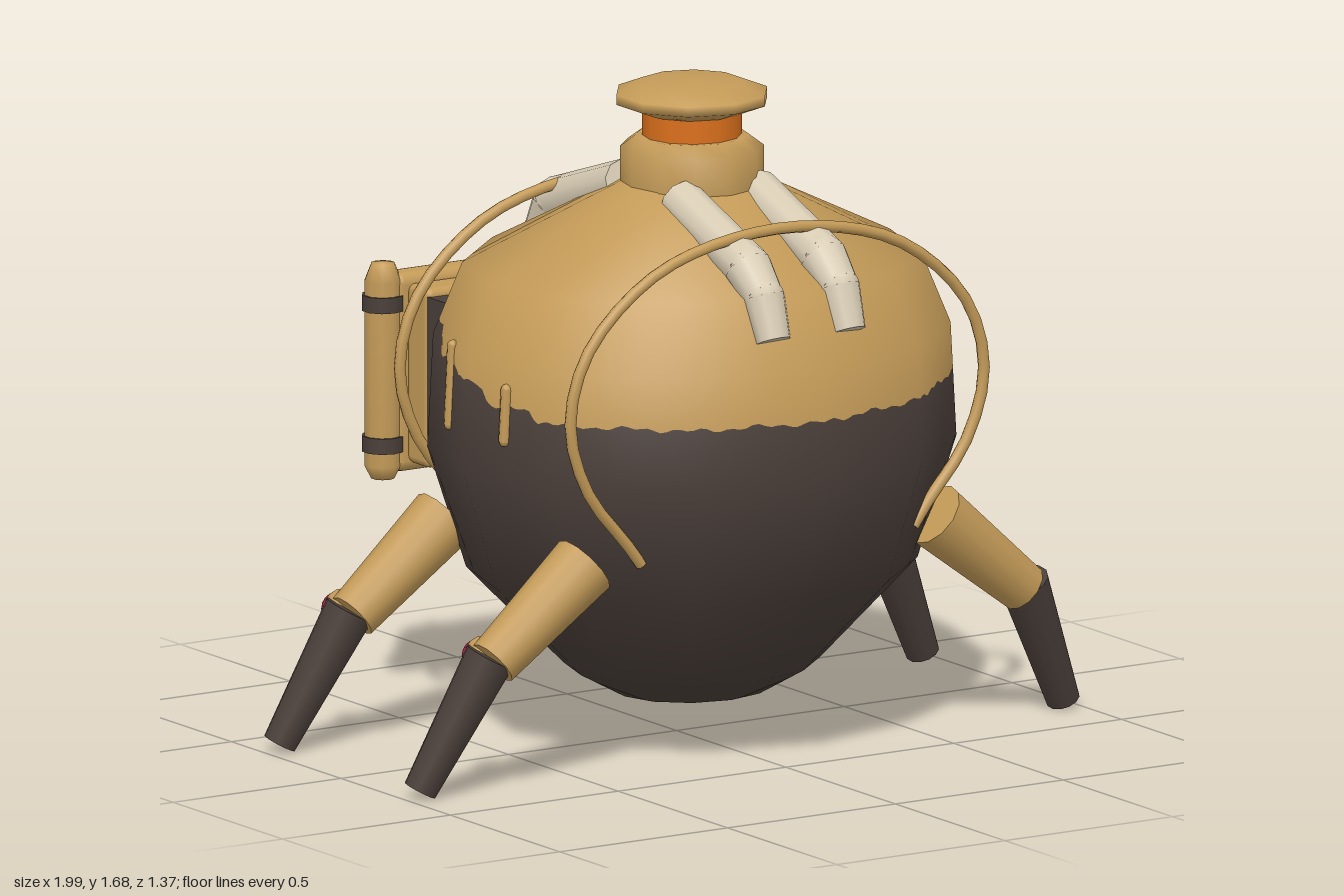
import * as THREE from 'three';
import { RoundedBoxGeometry } from 'three/addons/geometries/RoundedBoxGeometry.js';

const mat = (name, color, side = THREE.FrontSide) => {
  const m = new THREE.MeshStandardMaterial({ color, side });
  m.name = name;
  return m;
};
const tan = mat('tan paint', 0xc49b58);
const dark = mat('dark brown', 0x4a3f3a);
const cream = mat('cream hose', 0xd8ccb4);
const orange = mat('orange glow', 0xdb701c);
const red = mat('crimson', 0x9c1a3c);

const ZC = 0.07, ZS = 0.9; // body centre and depth ratio
const V = (x, y, z) => new THREE.Vector3(x, y, z);

function add(parent, name, geo, material, x = 0, y = 0, z = 0) {
  const m = new THREE.Mesh(geo, material);
  m.name = name;
  m.position.set(x, y, z);
  parent.add(m);
  return m;
}

// tapered rod between two points
function rod(parent, name, material, a, b, ra, rb, sides = 10) {
  const d = b.clone().sub(a);
  const mid = a.clone().add(b).multiplyScalar(0.5);
  const m = add(parent, name, new THREE.CylinderGeometry(rb, ra, d.length(), sides), material, mid.x, mid.y, mid.z);
  m.quaternion.setFromUnitVectors(V(0, 1, 0), d.normalize());
  return m;
}

// body profile: radius, height
const profile = [[0, 0.105], [0.2, 0.13], [0.33, 0.2], [0.58, 0.45], [0.68, 0.76],
  [0.665, 1.05], [0.59, 1.23], [0.18, 1.43], [0, 1.45]];
function interp(table, t, key, val) {
  for (let i = 1; i < table.length; i++) {
    const a = table[i - 1], b = table[i];
    if (t <= b[key]) return a[val] + (b[val] - a[val]) * Math.max(0, (t - a[key]) / (b[key] - a[key]));
  }
  return table[table.length - 1][val];
}
// point on the twelve-sided hull; phi runs from the front towards +x
function hullPoint(phi, y) {
  const step = Math.PI / 6;
  const local = ((phi % step) + step) % step - step / 2;
  const r = interp(profile, y, 1, 0) * Math.cos(step / 2) / Math.cos(local);
  return V(r * Math.sin(phi), y, ZC + ZS * r * Math.cos(phi));
}
// ragged paint line: angle from the front, height
const paintLine = [[0, 0.92], [1.2, 0.925], [1.21, 0.945], [1.46, 0.945], [1.5, 0.99], [1.71, 0.995],
  [1.73, 1.01], [1.96, 1.015], [2.0, 1.08], [2.17, 1.085], [2.21, 1.13], [2.42, 1.14], [2.48, 1.18],
  [2.65, 1.19], [2.72, 1.25], [Math.PI, 1.26]];
function paintHeight(phi) {
  const a = Math.abs(phi);
  return interp(paintLine, a, 0, 1) + 0.008 * Math.sin(a * 17) * Math.sin(a * 41);
}

// half of the hull, above or below the paint line
function hullHalf(upper) {
  const cols = 240, pos = [], nor = [], idx = [];
  const rows = upper ? [0, 1.05, 1.23, 1.43, 1.45] : [0.105, 0.13, 0.2, 0.45, 0.76, 1.05, 2];
  for (let c = 0; c <= cols; c++) {
    const phi = -Math.PI + (c / cols) * Math.PI * 2, line = paintHeight(phi);
    for (const row of rows) {
      const p = hullPoint(phi, upper ? Math.max(row, line) : Math.min(row, line));
      pos.push(p.x, p.y, p.z);
      const n = V(p.x / 0.46, (p.y - 0.82) / 0.42, (p.z - ZC) / 0.37).normalize();
      nor.push(n.x, n.y, n.z);
    }
  }
  const R = rows.length;
  for (let c = 0; c < cols; c++) for (let r = 0; r < R - 1; r++) {
    const a = c * R + r, b = a + R;
    idx.push(a, b, b + 1, a, b + 1, a + 1);
  }
  const g = new THREE.BufferGeometry();
  g.setAttribute('position', new THREE.Float32BufferAttribute(pos, 3));
  g.setAttribute('normal', new THREE.Float32BufferAttribute(nor, 3));
  g.setIndex(idx);
  return g;
}

const lathe = (pts, sides) => new THREE.LatheGeometry(pts.map(p => new THREE.Vector2(...p)), sides);

function buildLeg(parent, s, z) {
  const leg = new THREE.Group();
  leg.name = 'leg';
  const knee = V(s * 0.79, 0.345, z);
  rod(leg, 'upperLeg', tan, V(s * 0.52, 0.565, z + 0.005), knee, 0.085, 0.065, 12);
  rod(leg, 'lowerLeg', dark, V(s * 0.795, 0.36, z - 0.005), V(s * 0.958, 0.025, z - 0.075), 0.064, 0.043, 12);
  add(leg, 'kneeJoint', new THREE.SphereGeometry(0.045, 10, 8), tan, s * 0.79, 0.36, z - 0.045);
  const cap = add(leg, 'kneeCap', new THREE.SphereGeometry(0.04, 12, 8), red, s * 0.79, 0.35, z - 0.08);
  cap.scale.z = 0.45;
  parent.add(leg);
}

function buildPack(parent, s) {
  const pack = new THREE.Group();
  pack.name = 'backPack';
  const box = (name, m, w, h, d, x, y, z, r) => add(pack, name,
    r ? new RoundedBoxGeometry(w, h, d, 2, r) : new THREE.BoxGeometry(w, h, d), m, s * x, y, z);
  const Y = 0.875;
  box('mountPlate', dark, 0.4, 0.42, 0.1, 0.25, Y, -0.41);
  box('packBase', tan, 0.37, 0.46, 0.1, 0.27, Y, -0.49, 0.02);
  box('packBody', tan, 0.44, 0.51, 0.085, 0.27, Y, -0.572, 0.03);
  box('doorPanel', dark, 0.35, 0.42, 0.02, 0.265, Y, -0.613);
  // outer and inner door frames
  for (const [w, h, t, z] of [[0.37, 0.44, 0.02, -0.615], [0.25, 0.34, 0.022, -0.638]]) {
    for (const e of [-1, 1]) {
      box('frameSide', tan, t, h, 0.032, 0.265 + e * w / 2, Y, z);
      box('frameRail', tan, w + t, t, 0.032, 0.265, Y + e * h / 2, z);
    }
  }
  // window grille
  box('grilleUpright', tan, 0.016, 0.27, 0.016, 0.265, Y, -0.63);
  for (const y of [-0.07, 0, 0.07]) box('grilleBar', tan, 0.15, 0.014, 0.016, 0.265, Y + y, -0.63);
  // side canister with dark bands
  add(pack, 'canister', lathe([[0, -0.27], [0.03, -0.27], [0.048, -0.235], [0.048, 0.235], [0.03, 0.28], [0, 0.285]], 10),
    tan, s * 0.5, Y, -0.575);
  for (const e of [-1, 1]) {
    add(pack, 'canisterBand', new THREE.CylinderGeometry(0.054, 0.054, 0.04, 10), dark, s * 0.5, Y + e * 0.18, -0.575);
    rod(pack, 'knobStem', tan, V(s * 0.405, Y + e * 0.18, -0.6), V(s * 0.405, Y + e * 0.18, -0.655), 0.018, 0.018, 8);
    add(pack, 'knob', new THREE.SphereGeometry(0.02, 8, 6), red, s * 0.405, Y + e * 0.18, -0.663);
  }
  parent.add(pack);
}

// chain of overlapping hose sections, given as [y, z, radius]
function buildHose(parent, x, pts) {
  for (let i = 1; i < pts.length; i++) {
    const [y0, z0, r0] = pts[i - 1], [y1, z1, r1] = pts[i];
    rod(parent, 'hoseSection', cream, V(x, y0, z0), V(x, y1, z1), r0, r1 * 0.96, 10);
    if (i < pts.length - 1) add(parent, 'hoseElbow', new THREE.SphereGeometry(r1 * 0.97, 10, 8), cream, x, y1, z1);
  }
}

export function createModel() {
  const model = new THREE.Group();
  model.name = 'walkerPod';

  // body
  add(model, 'upperHull', hullHalf(true), tan);
  add(model, 'lowerHull', hullHalf(false), dark);
  const patch = add(model, 'scuffPatch', new THREE.BoxGeometry(0.13, 0.008, 0.14), dark, 0, 1.398, -0.175);
  patch.rotation.x = -0.5;

  // neck and lid
  add(model, 'neck', lathe([[0.176, 1.38], [0.18, 1.42], [0.18, 1.515], [0.14, 1.545], [0, 1.545]], 12), tan, 0, 0, ZC);
  add(model, 'glowRing', new THREE.CylinderGeometry(0.125, 0.125, 0.09, 12), orange, 0, 1.58, ZC);
  add(model, 'lid', lathe([[0, 1.605], [0.13, 1.605], [0.195, 1.63], [0.195, 1.655], [0.13, 1.68], [0, 1.685]], 10), tan, 0, 0, ZC);

  // guard hoops
  const half = [[0.405, 0.565], [0.45, 0.625], [0.56, 0.76], [0.615, 0.92], [0.595, 1.06], [0.52, 1.18], [0.33, 1.315]];
  const arch = [...half.map(([x, y]) => V(-x, y, 0)), V(0, 1.375, 0), ...half.slice().reverse().map(([x, y]) => V(x, y, 0))];
  for (const z of [0.46, -0.32]) {
    add(model, 'guardHoop', new THREE.TubeGeometry(new THREE.CatmullRomCurve3(arch), 40, 0.015, 8), tan, 0, 0, z);
  }

  for (const s of [-1, 1]) {
    buildLeg(model, s, 0.372);
    buildLeg(model, s, -0.27);
    buildPack(model, s);
    buildHose(model, s * 0.112, [[1.41, 0.19, 0.058], [1.295, 0.5, 0.062], [1.235, 0.57, 0.054], [1.13, 0.615, 0.046]]);
    buildHose(model, s * 0.112, [[1.41, -0.06, 0.06], [1.305, -0.37, 0.065], [1.12, -0.48, 0.055]]);
    // paint drips
    for (const [phi, y, h] of [[1.36, 0.925, 0.13], [1.8, 0.955, 0.2]]) {
      const p = hullPoint(s * phi, y);
      const drip = add(model, 'paintDrip', new THREE.CapsuleGeometry(0.015, h, 3, 8), tan, p.x, p.y, p.z);
      drip.rotation.z = s * 0.05;
    }
  }
  return model;
}
